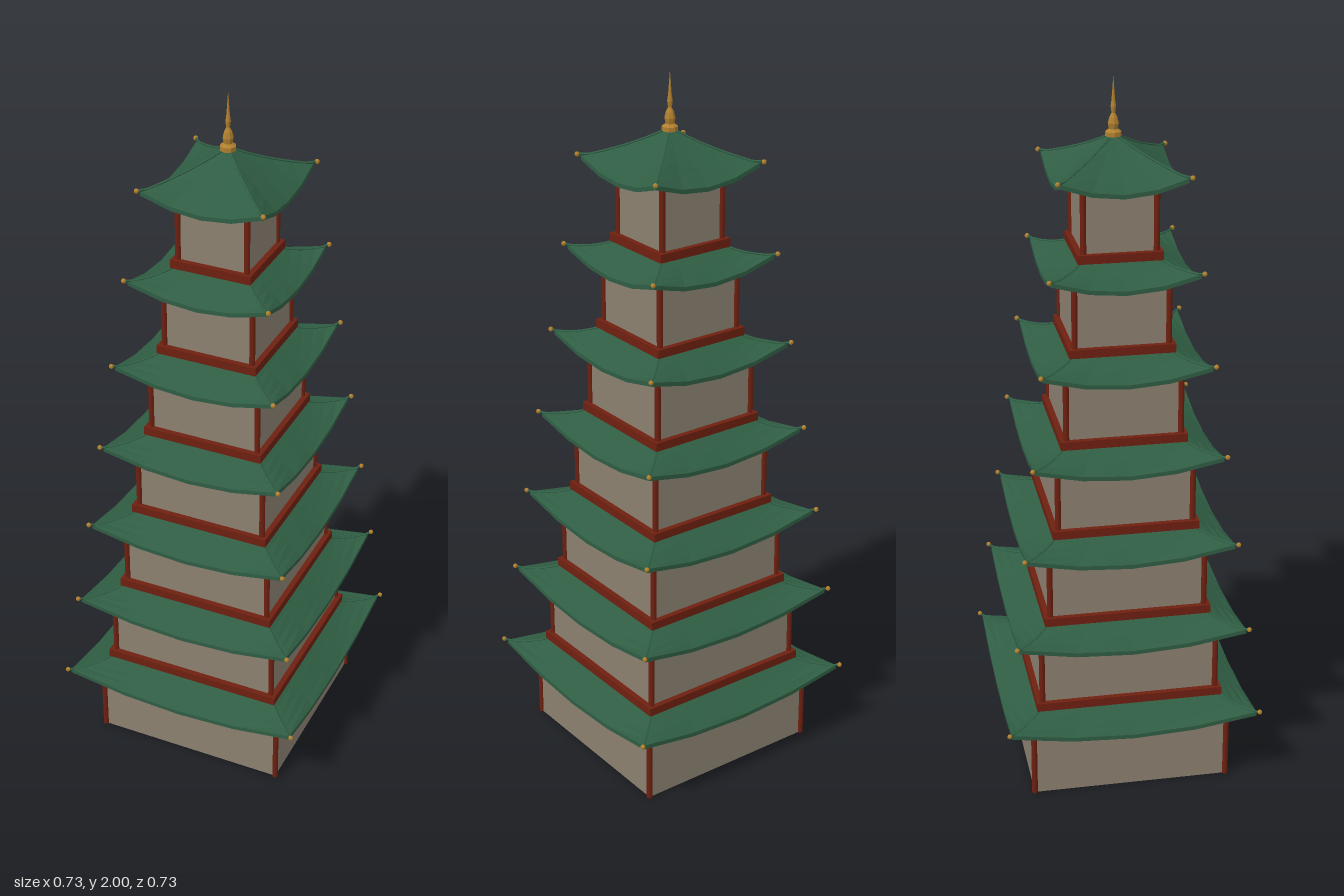
import * as THREE from 'three';
import { mergeGeometries } from 'three/addons/utils/BufferGeometryUtils.js';

const TIERS = 7, PITCH = 0.2533, STEP = 0.03;
const EAVE_Y = 0.205, LIFT = 0.035, THICK = 0.012;

const wallMat = new THREE.MeshStandardMaterial({ color: 0x8b8070 });
wallMat.name = 'stone wall';
const woodMat = new THREE.MeshStandardMaterial({ color: 0x6e2010 });
woodMat.name = 'red timber';
const tileMat = new THREE.MeshStandardMaterial({ color: 0x2f5d43, flatShading: true });
tileMat.name = 'green tile';
const goldMat = new THREE.MeshStandardMaterial({ color: 0xb0802f, flatShading: true });
goldMat.name = 'gold';

function add(parent, name, geometry, material, x = 0, y = 0, z = 0) {
  const mesh = new THREE.Mesh(geometry, material);
  mesh.name = name;
  mesh.position.set(x, y, z);
  parent.add(mesh);
  return mesh;
}

// Flat-faceted grid of quads from fn(u, v), copied around the four sides
function fourSides(fn, cols, rows, flip = false) {
  const pos = [];
  for (let r = 0; r < rows; r++) {
    for (let c = 0; c < cols; c++) {
      const a = fn(c / cols, r / rows), b = fn((c + 1) / cols, r / rows);
      const d = fn(c / cols, (r + 1) / rows), e = fn((c + 1) / cols, (r + 1) / rows);
      const tris = flip ? [d, b, e, d, a, b] : [d, e, b, d, b, a];
      tris.forEach((p) => pos.push(...p));
    }
  }
  const side = new THREE.BufferGeometry();
  side.setAttribute('position', new THREE.Float32BufferAttribute(pos, 3));
  side.computeVertexNormals();
  return mergeGeometries([0, 1, 2, 3].map((k) => side.clone().rotateY(k * Math.PI / 2)));
}

// Square roof with upturned corners: tiles, edge, underside, hips and tips
function makeRoof(inner, outer, innerY) {
  const roof = new THREE.Group();
  roof.name = 'roof';
  const surface = (drop) => (u, v) => {
    const t = u * 2 - 1;
    const h = THREE.MathUtils.lerp(inner, outer, v);
    const y = THREE.MathUtils.lerp(innerY, EAVE_Y, v) + LIFT * t * t * v * v - drop;
    return [t * h, y, h];
  };
  const top = surface(0), under = surface(THICK);
  add(roof, 'roofTiles', fourSides(top, 4, 4), tileMat);
  add(roof, 'eaveEdge', fourSides((u, v) => (v < 0.5 ? top : under)(u, 1), 4, 1), tileMat);
  add(roof, 'eaveUnderside', fourSides(under, 4, 4, true), woodMat);

  // Hip ridges end in small gold tips
  const tip = outer + 0.007;
  const points = [0, 0.25, 0.5, 0.75, 1].map((v) => new THREE.Vector3(...top(1, v)));
  points.push(new THREE.Vector3(tip, EAVE_Y + LIFT + 0.003, tip));
  const ridge = new THREE.TubeGeometry(new THREE.CatmullRomCurve3(points), 8, 0.004, 5);
  const ball = new THREE.SphereGeometry(0.007, 8, 6);
  for (let k = 0; k < 4; k++) {
    const corner = new THREE.Group();
    corner.name = 'roofCorner';
    corner.rotation.y = k * Math.PI / 2;
    add(corner, 'hipRidge', ridge, tileMat);
    add(corner, 'cornerTip', ball, goldMat, tip, EAVE_Y + LIFT + 0.003, tip);
    roof.add(corner);
  }
  return roof;
}

function makeTier(i) {
  const tier = new THREE.Group();
  tier.name = 'tier' + (i + 1);
  tier.position.y = i * PITCH;
  const half = 0.28 - STEP * i, outer = half + 0.07;
  const bottom = i === 0 ? 0 : 0.006;

  // Walls and corner posts
  const wallTop = 0.217, postTop = 0.225;
  add(tier, 'wall', new THREE.BoxGeometry(half * 2, wallTop - bottom, half * 2), wallMat,
    0, (wallTop + bottom) / 2, 0);
  const post = new THREE.CylinderGeometry(0.0085, 0.0085, postTop - bottom, 8);
  for (const sx of [-1, 1]) {
    for (const sz of [-1, 1]) {
      add(tier, 'cornerPost', post, woodMat, sx * (half - 0.001), (postTop + bottom) / 2, sz * (half - 0.001));
    }
  }

  // Timber sill around the foot of each upper storey
  if (i > 0) {
    const w = (half + 0.016) * 2;
    add(tier, 'sill', new THREE.BoxGeometry(w, 0.024, w), woodMat, 0, 0.016, 0);
  }

  const last = i === TIERS - 1;
  tier.add(makeRoof(last ? 0.001 : half - STEP, outer, last ? 0.324 : 0.262));
  return tier;
}

// Turned spire on the top roof
function makeFinial() {
  const profile = [
    [0, 1.832], [0.022, 1.838], [0.022, 1.85], [0.012, 1.857], [0.015, 1.872], [0.011, 1.888],
    [0.005, 1.9], [0.0075, 1.917], [0.005, 1.935], [0.003, 1.96], [0, 2],
  ].map(([x, y]) => new THREE.Vector2(x, y));
  return new THREE.LatheGeometry(profile, 8);
}

export function createModel() {
  const model = new THREE.Group();
  model.name = 'pagoda';
  for (let i = 0; i < TIERS; i++) model.add(makeTier(i));
  add(model, 'finial', makeFinial(), goldMat);
  return model;
}
